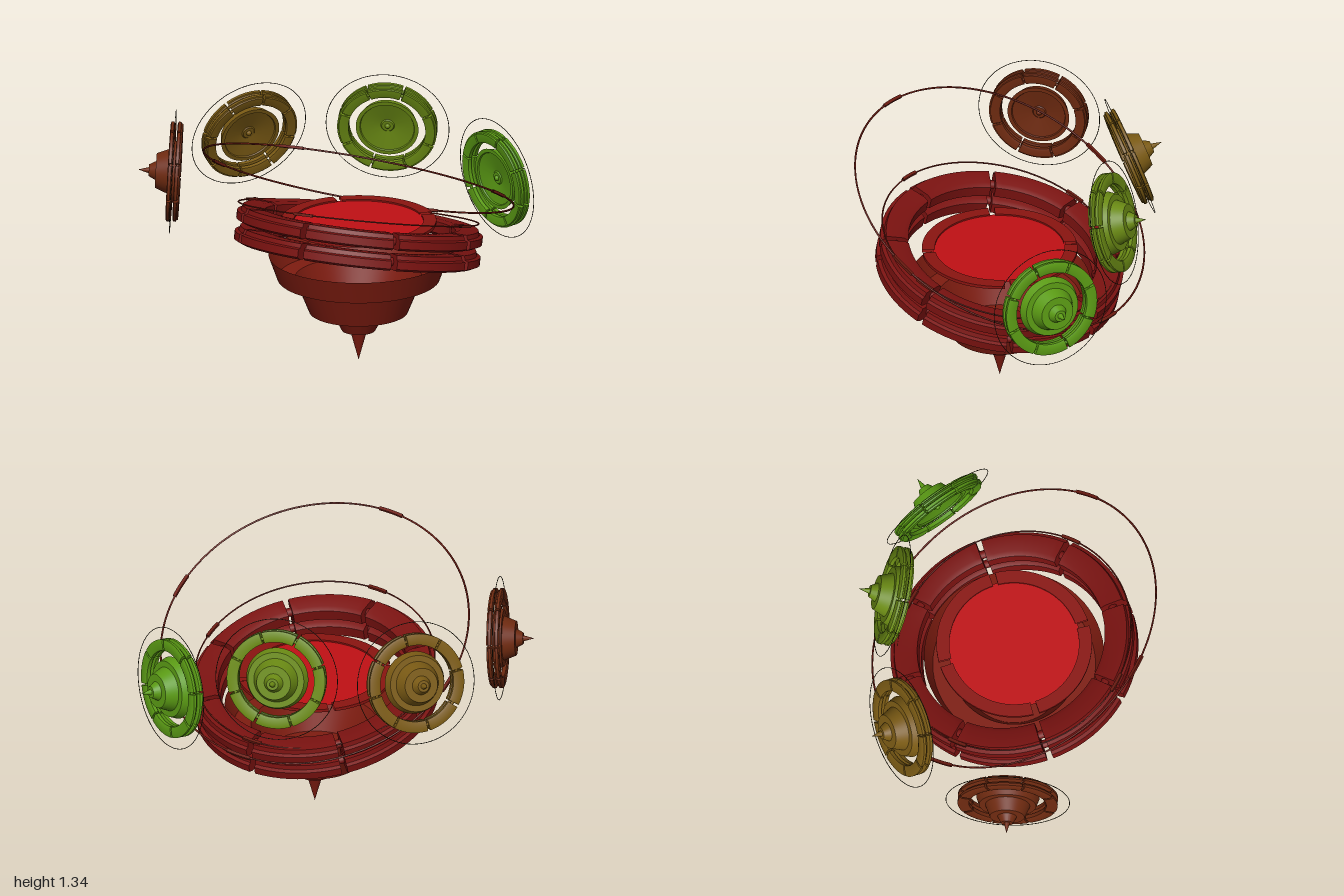
import * as THREE from 'three';
import { toCreasedNormals } from 'three/addons/utils/BufferGeometryUtils.js';

const UP = new THREE.Vector3(0, 1, 0);
const v2 = pts => pts.map(([x, y]) => new THREE.Vector2(x, y));

// Hollow stepped spinning-top profile, from the tip up to the rim
const BODY = v2([
  [0, 0], [0.043, 0.157], [0.084, 0.157], [0.137, 0.257], [0.248, 0.257],
  [0.32, 0.433], [0.408, 0.433], [0.452, 0.555],
]);
// Shallow dish closing a satellite's body
const DISH = v2([[0.452, 0.555], [0.395, 0.555], [0.385, 0.535], [0.1, 0.485], [0.085, 0.5], [0, 0.5]]);
// Cross-section of a ring block, with a lip round the outside
const RING = v2([
  [0.48, -0.028], [0.505, -0.04], [0.595, -0.04], [0.62, -0.028],
  [0.62, 0.012], [0.602, 0.018], [0.595, 0.04], [0.505, 0.04], [0.48, 0.028],
]);

function mat(color) {
  return new THREE.MeshStandardMaterial({ color, side: THREE.DoubleSide });
}

function add(parent, name, geo, material) {
  const mesh = new THREE.Mesh(geo, material);
  mesh.name = name;
  parent.add(mesh);
  return mesh;
}

function lathe(points, segments, start = 0, length = Math.PI * 2) {
  return toCreasedNormals(new THREE.LatheGeometry(points, segments, start, length), 0.5);
}

// Ring of eight blocks with narrow gaps, joined by a hidden core
function makeSegmentedRing(color) {
  const g = new THREE.Group();
  g.name = 'segmentedRing';
  const m = mat(color);
  const closed = [...RING, RING[0]];
  const gap = 0.025;
  for (let i = 0; i < 8; i++) {
    const start = i * Math.PI / 4 + gap;
    const length = Math.PI / 4 - 2 * gap;
    add(g, 'ringBlock', lathe(closed, 10, start, length), m);
    for (const phi of [start, start + length]) {
      const cap = new THREE.ShapeGeometry(new THREE.Shape(RING));
      cap.rotateY(phi - Math.PI / 2);
      add(g, 'blockEnd', cap, m);
    }
  }
  add(g, 'ringCore', new THREE.TorusGeometry(0.54, 0.022, 8, 64).rotateX(Math.PI / 2), m);
  return g;
}

// Two segmented rings stacked with a slit between them
function makeDoubleRing(color) {
  const g = new THREE.Group();
  g.name = 'doubleRing';
  for (const y of [-0.052, 0.052]) {
    const ring = makeSegmentedRing(color);
    ring.position.y = y;
    g.add(ring);
  }
  return g;
}

// Floating plate with a notched rim above the main body
function makePlate(color, rimColor) {
  const g = new THREE.Group();
  g.name = 'floatingPlate';
  add(g, 'plate', new THREE.CircleGeometry(0.335, 64).rotateX(-Math.PI / 2), mat(color));
  const m = mat(rimColor);
  const rim = v2([[0.325, -0.008], [0.39, -0.008], [0.39, 0.008], [0.325, 0.008], [0.325, -0.008]]);
  const gap = 0.04;
  for (let i = 0; i < 4; i++) {
    add(g, 'plateRim', lathe(rim, 20, i * Math.PI / 2 + gap, Math.PI / 2 - 2 * gap), m);
  }
  return g;
}

// Thin wire hoop, optionally with four flat bands on its diagonals
function makeHoop(radius, tube, color, banded) {
  const g = new THREE.Group();
  g.name = 'hoop';
  const m = mat(color);
  add(g, 'hoopWire', new THREE.TorusGeometry(radius, tube, 6, 128).rotateX(Math.PI / 2), m);
  const band = v2([[-0.007, -0.007], [0.009, -0.007], [0.009, 0.007], [-0.007, 0.007], [-0.007, -0.007]]);
  band.forEach(p => { p.x += radius; });
  for (let i = 0; banded && i < 4; i++) {
    const arc = 0.17;
    add(g, 'hoopBand', lathe(band, 8, Math.PI / 4 + i * Math.PI / 2 - arc / 2, arc), m);
  }
  return g;
}

function tilt(object, position, normal) {
  object.position.set(...position);
  object.quaternion.setFromUnitVectors(UP, new THREE.Vector3(...normal).normalize());
  return object;
}

// Small floating copy: dish faces inward, tip points along the axis
function makeSatellite(color, position, axis) {
  const g = new THREE.Group();
  g.name = 'satellite';
  const m = mat(color);
  const top = new THREE.Group();
  top.name = 'satelliteTop';
  add(top, 'satelliteBody', lathe(BODY, 64), m);
  add(top, 'dish', lathe(DISH, 64), m);
  add(top, 'dishHub', new THREE.SphereGeometry(0.04, 16, 12), m).position.y = 0.5;
  top.scale.setScalar(0.35);
  top.position.y = -0.175;
  const ring = makeDoubleRing(color);
  ring.scale.set(0.405, 0.34, 0.405);
  ring.position.y = 0.008;
  g.add(top, ring, makeHoop(0.31, 0.0018, 0x2a2410, false));
  return tilt(g, position, axis.map(c => -c));
}

export function createModel() {
  const model = new THREE.Group();
  model.name = 'floatingTops';
  const cx = 0.053, cz = 0.062;

  // Main body, its plate, tilted double ring and two hoops
  add(model, 'mainBody', lathe(BODY, 64), mat(0x7e1c10)).position.set(cx, 0, cz);
  const plate = makePlate(0xc01014, 0x8a1410);
  plate.position.set(cx, 0.73, cz);
  model.add(plate);
  model.add(tilt(makeDoubleRing(0x7a1210), [cx, 0.655, cz], [0.17, 1, -0.165]));
  model.add(tilt(makeHoop(0.605, 0.004, 0x6a1a10, true), [cx, 0.776, cz], [0.168, 1, -0.22]));
  model.add(tilt(makeHoop(0.79, 0.005, 0x6a1a10, true), [cx, 0.958, cz], [0.295, 0.883, -0.367]));

  // Four satellites in an arc behind: colour, ring centre, tip direction
  const satellites = [
    [0x6e2a10, [-0.83, 0.985, -0.235], [-0.945, 0.05, -0.32]],
    [0x7a5a14, [-0.31, 1.01, -0.635], [-0.13, 0.33, -0.93]],
    [0x6a8a14, [0.37, 1.03, -0.48], [0.38, 0.27, -0.88]],
    [0x5a9a14, [0.83, 0.83, -0.107], [0.93, 0.1, -0.32]],
  ];
  for (const s of satellites) model.add(makeSatellite(...s));
  return model;
}
